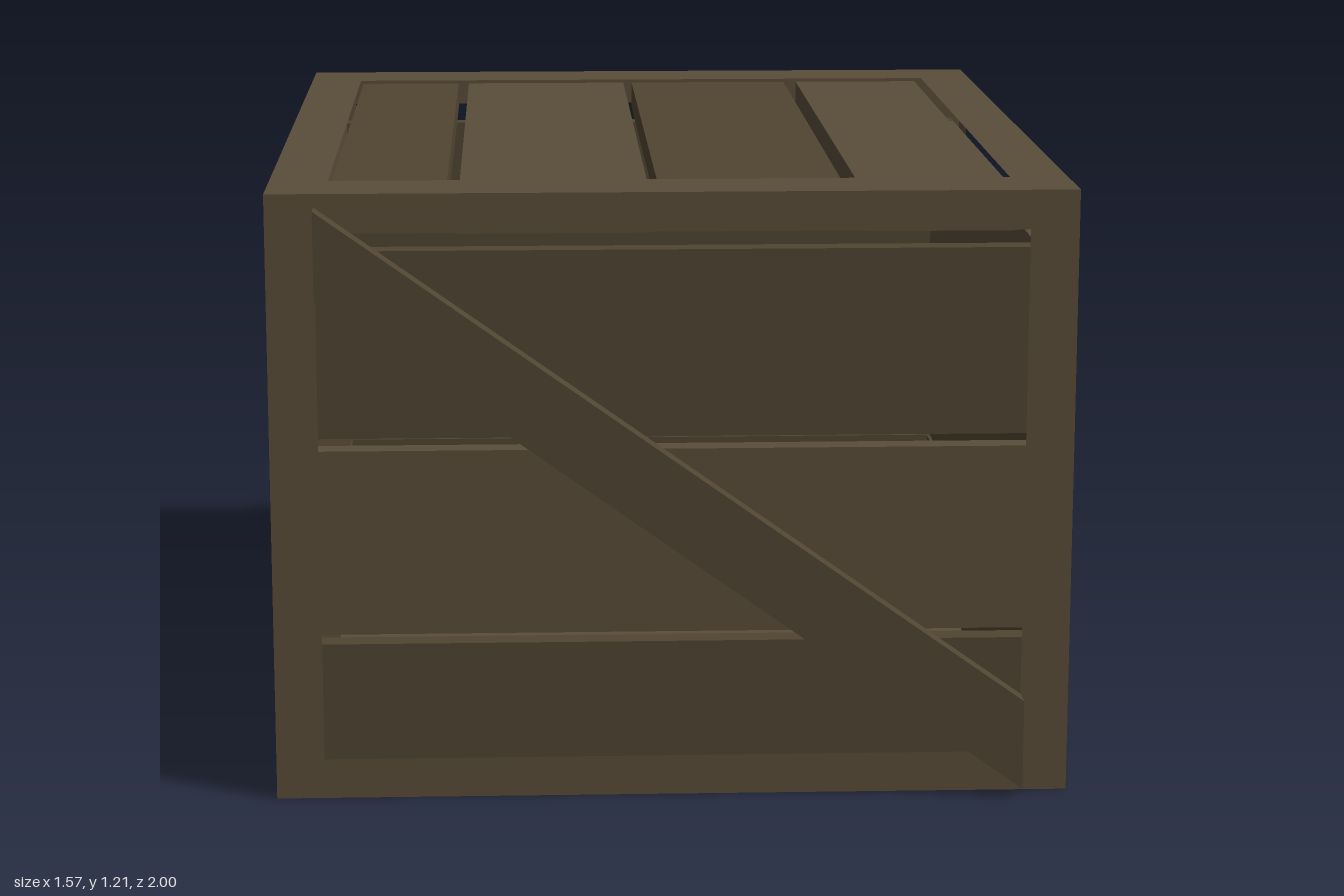
import * as THREE from 'three';

const W = 0.785, H = 1.21, D = 0.945; // half width, height, half depth of the body

const frameMat = new THREE.MeshStandardMaterial({ color: 0x5a4d39, side: THREE.DoubleSide });
const lightMat = new THREE.MeshStandardMaterial({ color: 0x5a4d39 });
const darkMat = new THREE.MeshStandardMaterial({ color: 0x504531 });

// Box from its minimum and maximum corners
function board(name, min, max, mat) {
  const size = max.map((v, i) => v - min[i]);
  const mesh = new THREE.Mesh(new THREE.BoxGeometry(...size), mat);
  mesh.position.set(...max.map((v, i) => (v + min[i]) / 2));
  mesh.name = name;
  return mesh;
}

// Closed outline from a list of points
function outline(points) {
  return new THREE.Shape(points.map(([x, y]) => new THREE.Vector2(x, y)));
}

const rect = (x0, y0, x1, y1) => [[x0, y0], [x1, y0], [x1, y1], [x0, y1]];

// Thin sheet frame with one rectangular opening
function frame(name, outer, inner) {
  const shape = outline(outer);
  shape.holes.push(outline(inner));
  const mesh = new THREE.Mesh(new THREE.ShapeGeometry(shape), frameMat);
  mesh.name = name;
  return mesh;
}

export function createModel() {
  const crate = new THREE.Group();
  crate.name = 'woodenCrate';

  // Front and back panels; the back is the front turned half a circle
  for (const [side, turn] of [['front', 0], ['back', Math.PI]]) {
    const panel = new THREE.Group();
    panel.name = side + 'Panel';
    const border = frame(side + 'Frame', rect(-W, 0, W, H), rect(-0.69, 0.08, 0.69, 1.133));
    border.position.z = D;
    panel.add(border);
    [[0.02, 0.31, darkMat], [0.33, 0.7, lightMat], [0.725, 1.095, darkMat]].forEach(([y0, y1, mat]) =>
      panel.add(board(side + 'Slat', [-0.76, y0, 0.875], [0.76, y1, 0.925], mat)));

    // Diagonal brace with upright cut ends
    const shape = outline([[-0.69, 1.01], [0.69, 0.02], [0.69, 0.2], [-0.69, 1.185]]);
    const brace = new THREE.Mesh(
      new THREE.ExtrudeGeometry(shape, { depth: 0.05, bevelEnabled: false }), darkMat);
    brace.position.z = 0.95;
    brace.name = side + 'Brace';
    panel.add(brace);
    panel.rotation.y = turn;
    crate.add(panel);
  }

  // Left and right panels
  for (const [side, s] of [['left', 1], ['right', -1]]) {
    const panel = new THREE.Group();
    panel.name = side + 'Panel';
    const border = frame(side + 'Frame', rect(-D, 0, D, H), rect(-0.803, 0.08, 0.803, 1.13));
    border.position.z = W;
    panel.add(border);
    [[0.02, 0.31, darkMat], [0.325, 0.7, darkMat], [0.72, 1.095, lightMat]].forEach(([y0, y1, mat]) =>
      panel.add(board(side + 'Slat', [-0.87, y0, 0.71], [0.87, y1, 0.76], mat)));
    panel.rotation.y = s * Math.PI / 2;
    crate.add(panel);
  }

  // Lid: frame with four planks just below it
  const lidFrame = frame('lidFrame', rect(-W, -D, W, D), rect(-0.67, -0.78, 0.67, 0.78));
  lidFrame.rotation.x = -Math.PI / 2;
  lidFrame.position.y = H;
  crate.add(lidFrame);
  [[-0.67, -0.44], [-0.415, -0.04], [-0.02, 0.35], [0.38, 0.67]].forEach(([x0, x1], i) =>
    crate.add(board('lidPlank', [x0, 1.127, -0.92], [x1, 1.185, 0.92], i % 2 ? lightMat : darkMat)));

  // Floor
  const floor = new THREE.Mesh(new THREE.PlaneGeometry(2 * W, 2 * D), frameMat);
  floor.rotation.x = Math.PI / 2;
  floor.name = 'floor';
  crate.add(floor);

  return crate;
}
